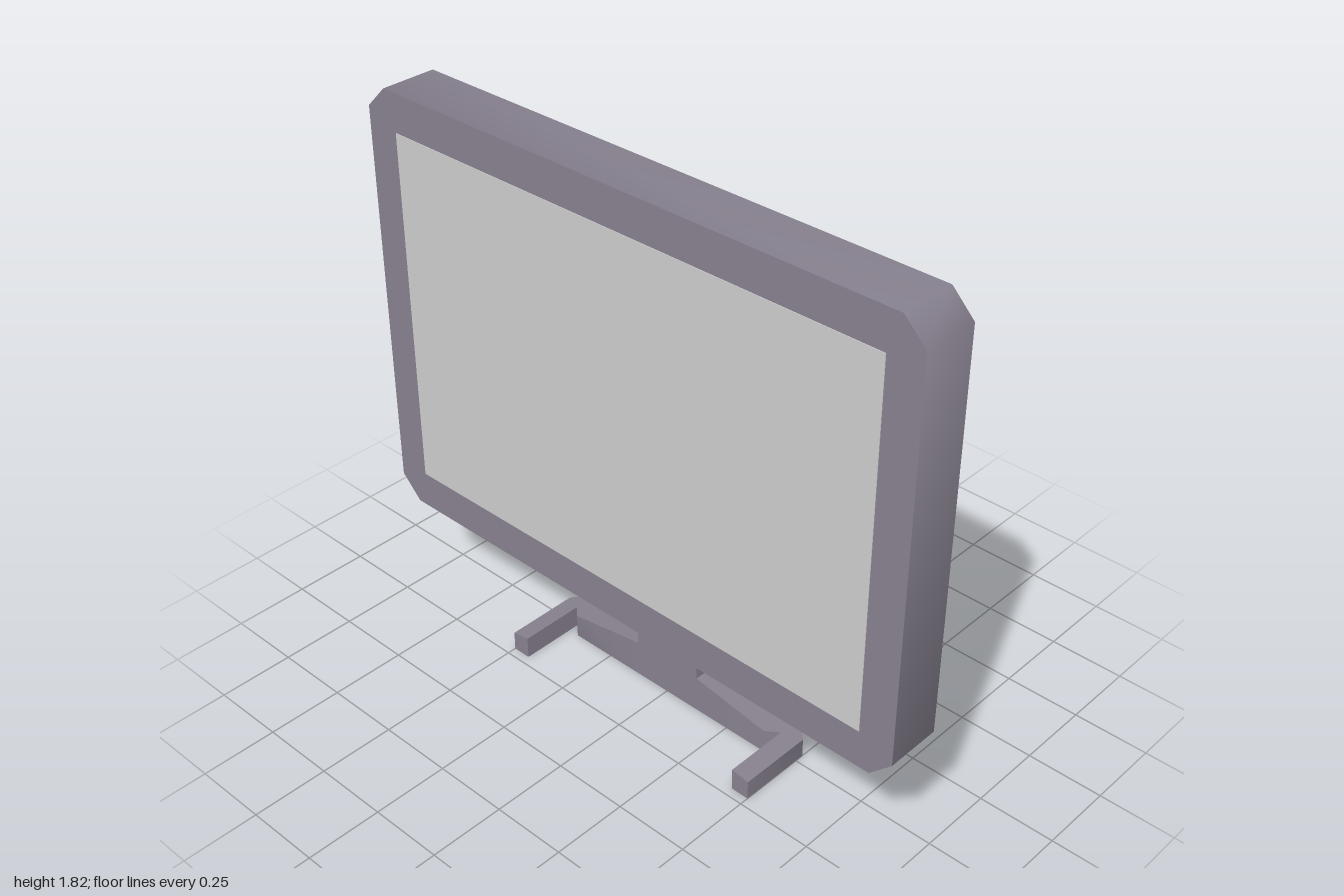
import * as THREE from 'three';
import { toCreasedNormals } from 'three/addons/utils/BufferGeometryUtils.js';

const casing = new THREE.MeshStandardMaterial({ name: 'casingGrey', color: 0x86808e });
const glass = new THREE.MeshStandardMaterial({ name: 'screenGrey', color: 0xcccccc });

// Straight prism from an outline, extruded from 0 to depth along z
function prism(points, depth) {
  const shape = new THREE.Shape(points.map(([a, b]) => new THREE.Vector2(a, b)));
  return new THREE.ExtrudeGeometry(shape, { depth, bevelEnabled: false });
}

function part(name, geometry, material, crease = 1) {
  const mesh = new THREE.Mesh(toCreasedNormals(geometry, crease), material);
  mesh.name = name;
  return mesh;
}

export function createModel() {
  const model = new THREE.Group();
  model.name = 'monitor';

  // Panel with clipped corners, facing -x
  const w = 1, bottom = 0.38, top = 1.815, c = 0.073;
  const panel = prism([
    [-w + c, bottom], [w - c, bottom], [w, bottom + c], [w, top - c],
    [w - c, top], [-w + c, top], [-w, top - c], [-w, bottom + c],
  ], 0.185).rotateY(Math.PI / 2).translate(-0.22, 0, 0);
  model.add(part('panel', panel, casing));

  // Display area
  const screen = new THREE.BoxGeometry(0.004, 1.185, 1.77).translate(-0.22, 1.098, 0);
  model.add(part('screen', screen, glass));

  // Tapered housing on the back
  const housing = prism([
    [-0.035, -0.643], [0.09, -0.58], [0.09, 0.58], [-0.035, 0.643],
  ], 0.725).rotateX(Math.PI / 2).translate(0, 1.46, 0);
  model.add(part('rearHousing', housing, casing, 1.2));

  // Wedge-shaped neck
  const neck = prism([
    [-0.035, 0], [0.215, 0], [0.215, 0.125], [0.09, 1], [-0.035, 1],
  ], 0.25).translate(0, 0, -0.125);
  model.add(part('neck', neck, casing));

  // Feet: hooked plan, top sloping down away from the neck
  for (const [name, s] of [['leftFoot', 1], ['rightFoot', -1]]) {
    const foot = prism([
      [-0.035, 0.125], [0.09, 0.125], [0.09, 0.438], [0.03, 0.5],
      [-0.22, 0.5], [-0.22, 0.438], [0, 0.438], [-0.035, 0.4],
    ].map(([x, z]) => [x, z * s]), 1).rotateX(Math.PI / 2);
    const p = foot.attributes.position;
    for (let i = 0; i < p.count; i++) {
      const roof = 0.125 - 0.16 * (Math.abs(p.getZ(i)) - 0.125);
      p.setY(i, p.getY(i) > -0.5 ? roof : 0);
    }
    model.add(part(name, foot, casing));
  }

  return model;
}
